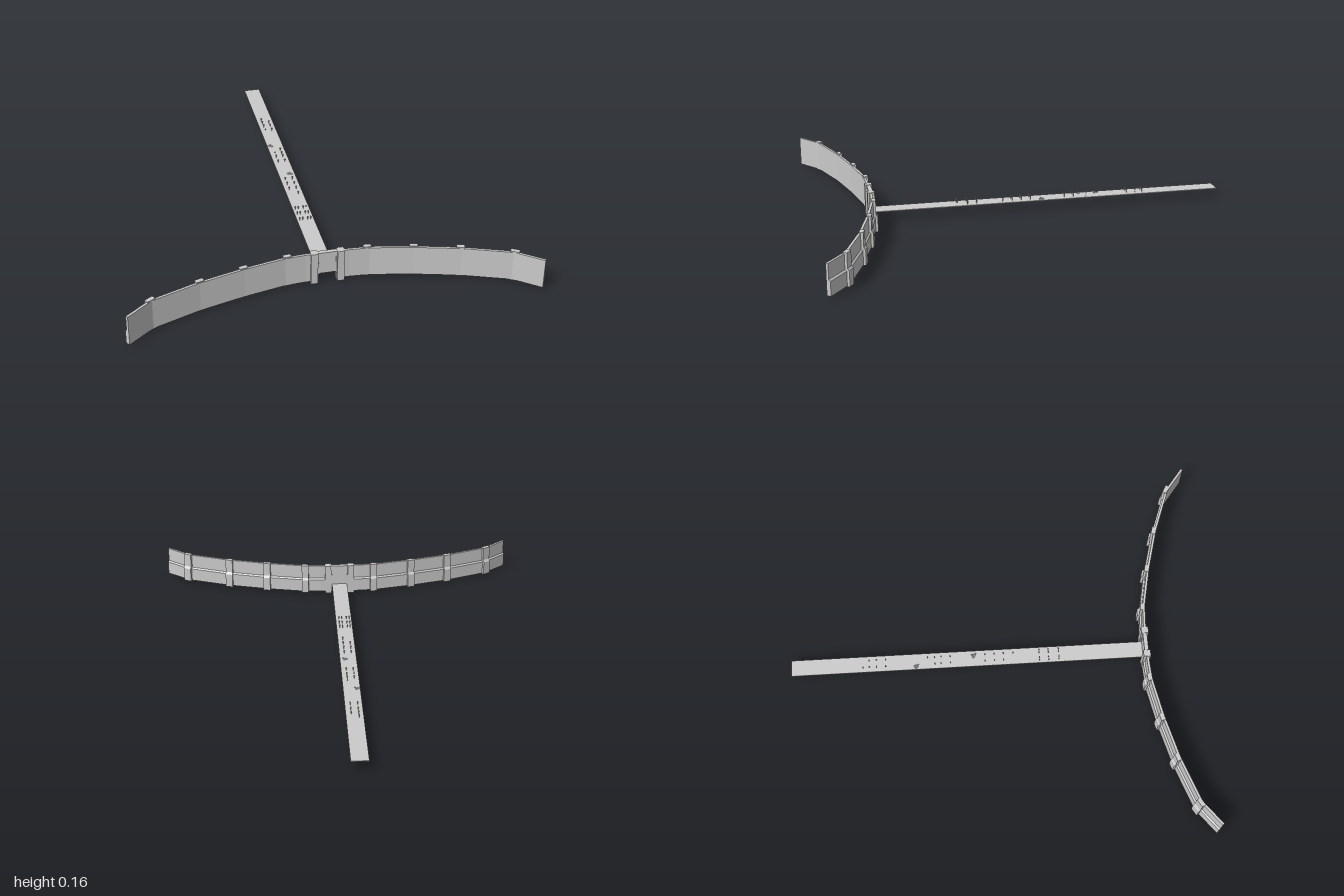
import * as THREE from 'three';

const grey = new THREE.MeshStandardMaterial({ color: 0xcccccc, flatShading: true });

function add(group, name, geometry, x = 0, y = 0, z = 0) {
  const mesh = new THREE.Mesh(geometry, grey);
  mesh.name = name;
  mesh.position.set(x, y, z);
  group.add(mesh);
  return mesh;
}

// Sweep a [depth, height] profile along a left-to-right ground line; depth grows to the back.
function sweep(line, profile) {
  const n = profile.length, pos = [], idx = [];
  line.forEach((p, i) => {
    const a = line[Math.max(i - 1, 0)], b = line[Math.min(i + 1, line.length - 1)];
    const len = Math.hypot(b[0] - a[0], b[1] - a[1]);
    const nx = (b[1] - a[1]) / len, nz = -(b[0] - a[0]) / len;
    for (const [d, y] of profile) pos.push(p[0] + nx * d, y, p[1] + nz * d);
  });
  for (let i = 0; i < line.length - 1; i++) {
    for (let j = 0; j < n; j++) {
      const a = i * n + j, b = i * n + (j + 1) % n;
      idx.push(a, b, a + n, b, b + n, a + n);
    }
  }
  const end = (line.length - 1) * n;
  const cap = THREE.ShapeUtils.triangulateShape(profile.map(p => new THREE.Vector2(...p)), []);
  for (const [a, b, c] of cap) idx.push(end + a, end + b, end + c, c, b, a);
  const g = new THREE.BufferGeometry();
  g.setAttribute('position', new THREE.Float32BufferAttribute(pos, 3));
  g.setIndex(idx);
  const flat = g.toNonIndexed();
  flat.computeVertexNormals();
  return flat;
}

// Front foot of one wall half, and the stepped sections of wall and buttress
const wallLine = [[0.04, 0.731], [0.1, 0.731], [0.19, 0.737], [0.38, 0.776],
  [0.585, 0.831], [0.8, 0.91], [0.912, 0.998]];
const wallProfile = [[0, 0.01], [0.02, 0.01], [0.02, 0.077], [0.012, 0.084], [0.012, 0.155], [0, 0.155]];
const ribProfile = [[0.003, 0.007], [0.032, 0.007], [0.032, 0.079], [0.024, 0.09], [0.024, 0.16], [0.003, 0.16]];
const mirrorLine = line => line.map(([x, z]) => [-x, z]).reverse();

function pointAt(x) {
  const i = wallLine.findIndex(p => p[0] >= x);
  const [a, b] = [wallLine[i - 1], wallLine[i]];
  return [x, a[1] + (b[1] - a[1]) * (x - a[0]) / (b[0] - a[0])];
}

export function createModel() {
  const model = new THREE.Group();
  model.name = 'wallAndCauseway';

  // Curved wall halves with buttresses and gate posts
  for (const side of [1, -1]) {
    const half = new THREE.Group();
    half.name = side > 0 ? 'leftWall' : 'rightWall';
    model.add(half);
    const place = line => (side > 0 ? line : mirrorLine(line));
    add(half, 'wall', sweep(place(wallLine), wallProfile));
    for (const x of [0.18, 0.38, 0.58, 0.8]) {
      const line = [pointAt(x - 0.018), pointAt(x + 0.018)];
      add(half, 'buttress', sweep(place(line), ribProfile));
    }
    add(half, 'gatePost', new THREE.BoxGeometry(0.032, 0.158, 0.034), side * 0.06, 0.079, 0.723);
    // Small hinge block inside the post
    add(half, 'gateJamb', new THREE.BoxGeometry(0.008, 0.058, 0.02), side * 0.041, 0.075, 0.722);
  }

  // Closed gate above the causeway
  add(model, 'gate', new THREE.BoxGeometry(0.086, 0.11, 0.012), 0, 0.1, 0.722);
  add(model, 'gateRail', new THREE.BoxGeometry(0.086, 0.012, 0.02), 0, 0.15, 0.722);

  // Thin straight causeway
  add(model, 'causeway', new THREE.BoxGeometry(0.08, 0.004, 1.72), 0, 0.047, -0.14);

  // Tiny markers standing on the causeway, in loose files
  const files = [
    [-0.018, [-0.65, -0.62, -0.585, -0.54, -0.3, -0.27, -0.225, -0.055, -0.01, 0.035]],
    [0.016, [-0.62, -0.585, -0.54, -0.335, -0.3, -0.27, -0.225, -0.055, -0.01, 0.035, 0.082]],
    ...[-0.028, -0.014, 0.01, 0.024].map(x => [x, [0.21, 0.255, 0.305]]),
  ];
  const stem = new THREE.CylinderGeometry(0.001, 0.001, 0.011, 5);
  const head = new THREE.BoxGeometry(0.006, 0.006, 0.005);
  for (const [x, rows] of files) {
    for (const z of rows) {
      const marker = new THREE.Group();
      marker.name = 'marker';
      add(marker, 'stem', stem, 0, 0.0545, 0);
      add(marker, 'head', head, 0, 0.063, 0);
      marker.position.set(x, 0, z);
      model.add(marker);
    }
  }

  // Low rubble heaps
  for (const [x, z] of [[-0.022, -0.392], [0.018, -0.11]]) {
    for (let i = 0; i < 5; i++) {
      const a = i * 2.4, r = 0.004 * Math.sqrt(i) * 1.4;
      add(model, 'rubble', new THREE.CylinderGeometry(0.003, 0.005, 0.003, 6),
        x + Math.cos(a) * r, 0.0505, z + Math.sin(a) * r);
    }
  }
  return model;
}
